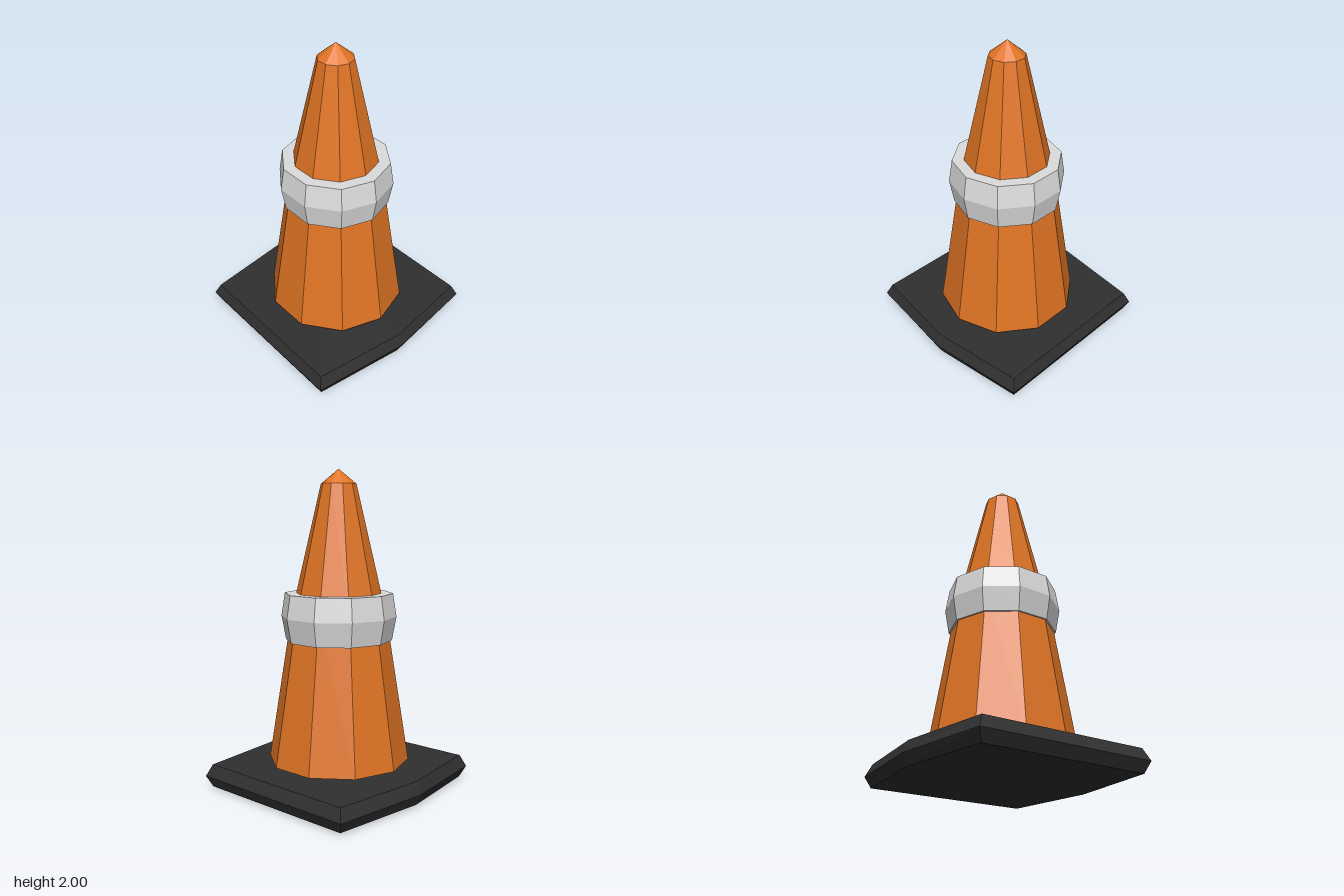
import * as THREE from 'three';

const flat = (name, color) => {
  const m = new THREE.MeshStandardMaterial({ color, flatShading: true });
  m.name = name;
  return m;
};

// Ten-sided turned part with corners on the x axis
function turned(name, profile, material) {
  const geo = new THREE.LatheGeometry(profile.map(([r, y]) => new THREE.Vector2(r, y)), 10);
  geo.rotateY(Math.PI / 2);
  const mesh = new THREE.Mesh(geo, material);
  mesh.name = name;
  return mesh;
}

// Six-cornered slab lofted through inset outlines, closed by a fan at each end
function slab() {
  const outline = [[0.645, 0], [0.57, -0.63], [-0.57, -0.63], [-0.645, 0], [-0.57, 0.63], [0.57, 0.63]];
  const levels = [[0.01, 0.032], [0.08, 0], [0.155, 0.032]]; // height, inset
  const loops = levels.map(([y, inset]) =>
    outline.map(([x, z]) => [x - Math.sign(x) * inset, y, z - Math.sign(z) * inset]));
  const pos = [];
  const tri = (...corners) => corners.forEach((c) => pos.push(...c));
  for (let i = 0; i < 6; i++) {
    const j = (i + 1) % 6;
    for (let k = 0; k < 2; k++) {
      const lo = loops[k], hi = loops[k + 1];
      tri(lo[i], lo[j], hi[j]);
      tri(lo[i], hi[j], hi[i]);
    }
    tri(loops[2][i], loops[2][j], [0, 0.157, 0]);
    tri(loops[0][j], loops[0][i], [0, 0, 0]);
  }
  const geo = new THREE.BufferGeometry();
  geo.setAttribute('position', new THREE.Float32BufferAttribute(pos, 3));
  geo.computeVertexNormals();
  return geo;
}

export function createModel() {
  const orange = flat('orange', 0xe07424);
  const white = flat('pale grey', 0xdcdcdc);
  const black = flat('black rubber', 0x303030);

  const group = new THREE.Group();
  group.name = 'trafficCone';

  const base = new THREE.Mesh(slab(), black);
  base.name = 'base';

  // Cone body with a slight bend under the band and a pointed cap
  const cone = turned('cone', [[0, 0.15], [0.35, 0.155], [0.447, 0.178], [0.3, 1.1], [0.11, 1.91], [0, 2]], orange);

  // Bulged reflective band
  const band = turned('band', [[0.28, 0.945], [0.336, 0.945], [0.363, 1.095], [0.34, 1.24], [0.25, 1.24]], white);

  group.add(base, cone, band);
  return group;
}
